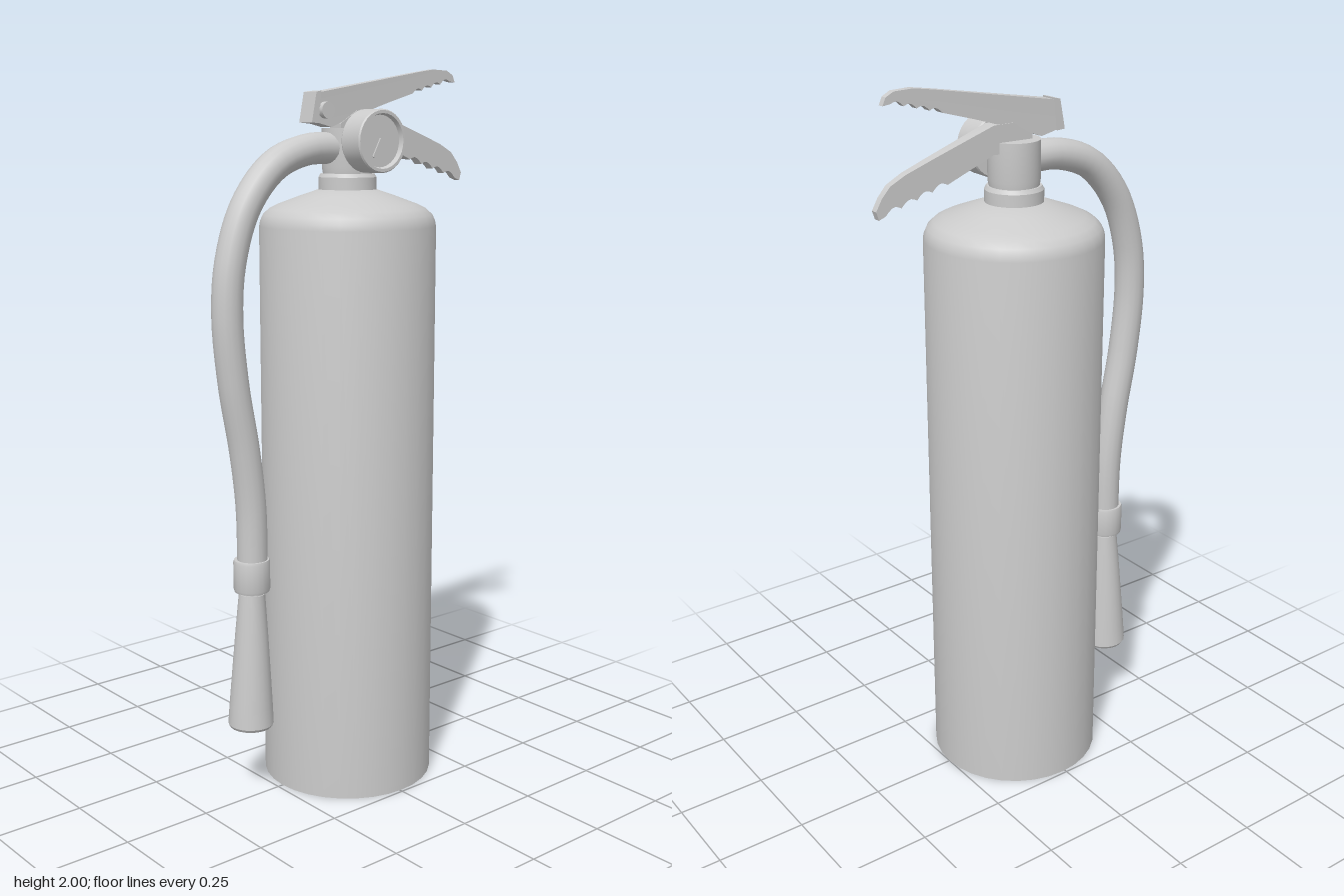
import * as THREE from 'three';
import { toCreasedNormals } from 'three/addons/utils/BufferGeometryUtils.js';

const grey = new THREE.MeshStandardMaterial({ color: 0xcccccc });
const CZ = -0.008; // axis of the tank and valve

function part(parent, name, geometry, x = 0, y = 0, z = 0) {
  const mesh = new THREE.Mesh(geometry, grey);
  mesh.name = name;
  mesh.position.set(x, y, z);
  parent.add(mesh);
  return mesh;
}

function turned(points, segments = 32) {
  const profile = points.map(([r, y]) => new THREE.Vector2(r, y));
  return toCreasedNormals(new THREE.LatheGeometry(profile, segments), 0.45);
}

// Side outline given as [z, y] points, extruded across x and narrowed towards the back
function sidePlate(points, frontHalf, backHalf) {
  const shape = new THREE.Shape(points.map(([z, y]) => new THREE.Vector2(z, y)));
  const geo = new THREE.ExtrudeGeometry(shape, { depth: 2, bevelEnabled: false });
  geo.translate(0, 0, -1).rotateY(-Math.PI / 2);
  const p = geo.attributes.position;
  for (let i = 0; i < p.count; i++) {
    const t = THREE.MathUtils.clamp((0.1 - p.getZ(i)) / 0.53, 0, 1);
    p.setX(i, p.getX(i) * THREE.MathUtils.lerp(frontHalf, backHalf, t));
  }
  return toCreasedNormals(geo, 0.5);
}

// Finger grips: a row of shallow hollows from a to b
function scallops(a, b, count, depth) {
  const out = [];
  const n = count * 5;
  for (let i = 0; i <= n; i++) {
    const t = i / n;
    const lift = depth * Math.abs(Math.sin(t * count * Math.PI));
    out.push([a[0] + (b[0] - a[0]) * t, a[1] + (b[1] - a[1]) * t + lift]);
  }
  return out;
}

export function createModel() {
  const model = new THREE.Group();
  model.name = 'fireExtinguisher';

  // Tank with rounded shoulder
  part(model, 'tank', turned([
    [0, 0], [0.242, 0], [0.242, 1.577], [0.239, 1.592], [0.232, 1.608],
    [0.215, 1.624], [0.19, 1.636], [0.125, 1.66], [0.08, 1.675], [0, 1.675],
  ]), 0, 0, CZ);

  // Neck collar and valve
  part(model, 'neckCollar', turned([
    [0, 1.66], [0.079, 1.66], [0.079, 1.708], [0.073, 1.718], [0, 1.718],
  ]), 0, 0, CZ);
  part(model, 'valve', turned([
    [0, 1.71], [0.066, 1.71], [0.07, 1.735], [0.07, 1.838], [0, 1.838],
  ]), 0, 0, CZ);

  // Pressure gauge on the left side
  const gauge = new THREE.Group();
  gauge.name = 'gauge';
  gauge.position.set(0.07, 1.804, CZ);
  gauge.rotation.z = -Math.PI / 2;
  model.add(gauge);
  part(gauge, 'gaugeCase', turned([
    [0, 0], [0.08, 0], [0.083, 0.005], [0.083, 0.071], [0.08, 0.075],
    [0.072, 0.075], [0.068, 0.062], [0, 0.062],
  ]));
  part(gauge, 'gaugeStem', new THREE.CylinderGeometry(0.03, 0.03, 0.06, 16), 0, -0.02, 0);
  const needle = part(gauge, 'gaugeNeedle', new THREE.BoxGeometry(0.055, 0.004, 0.008), 0.018, 0.064, 0.01);
  needle.rotation.y = -0.5;

  // Upper lever with its bracket and pivot pin
  const lx = -0.006;
  part(model, 'upperLever', sidePlate([
    [0.125, 1.855], [0.112, 1.928], [-0.26, 1.99], [-0.32, 1.999], [-0.375, 1.997],
    [-0.398, 1.985], [-0.407, 1.965],
    ...scallops([-0.385, 1.968], [-0.24, 1.932], 4, 0.009),
    [-0.15, 1.907], [0, 1.862], [0.06, 1.84],
  ], 0.023, 0.008), lx);
  part(model, 'leverBracket', sidePlate([
    [0.132, 1.852], [0.116, 1.931], [0.1, 1.934], [0.108, 1.85],
  ], 0.027, 0.027), lx);
  const pin = part(model, 'pivotPin', new THREE.CylinderGeometry(0.022, 0.022, 0.05, 16), 0.008, 1.884, 0.085);
  pin.rotation.z = Math.PI / 2;

  // Lower carrying handle
  part(model, 'lowerHandle', sidePlate([
    [0.03, 1.80], [0.03, 1.85], [-0.03, 1.885], [-0.09, 1.884], [-0.275, 1.82],
    [-0.35, 1.793], [-0.395, 1.77], [-0.42, 1.742], [-0.437, 1.712], [-0.43, 1.69],
    ...scallops([-0.41, 1.698], [-0.23, 1.752], 4, 0.012),
    [-0.09, 1.81],
  ], 0.025, 0.01), lx);

  // Hose curving forward and down from the valve
  const hx = -0.004;
  const path = new THREE.CatmullRomCurve3([
    [1.785, 0.03], [1.782, 0.13], [1.742, 0.24], [1.64, 0.333], [1.5, 0.384],
    [1.36, 0.397], [1.18, 0.381], [1, 0.349], [0.84, 0.33], [0.65, 0.327],
  ].map(([y, z]) => new THREE.Vector3(hx, y, z)));
  part(model, 'hose', new THREE.TubeGeometry(path, 48, 0.042, 16, false));

  // Ferrule and discharge horn
  part(model, 'hoseFerrule', turned([
    [0, 0.603], [0.048, 0.603], [0.05, 0.61], [0.05, 0.685], [0.048, 0.692], [0, 0.692],
  ], 20), hx, 0, 0.33);
  part(model, 'hornNeck', new THREE.CylinderGeometry(0.033, 0.033, 0.04, 20), hx, 0.6, 0.33);
  const horn = turned([
    [0, 0.03], [0.045, 0.03], [0.052, 0.002], [0.058, 0], [0.063, 0.008], [0.06, 0.06], [0.053, 0.16],
    [0.045, 0.27], [0.036, 0.382], [0, 0.382],
  ], 20);
  part(model, 'horn', horn, hx, 0.213, 0.34).rotation.x = -0.025;

  return model;
}
